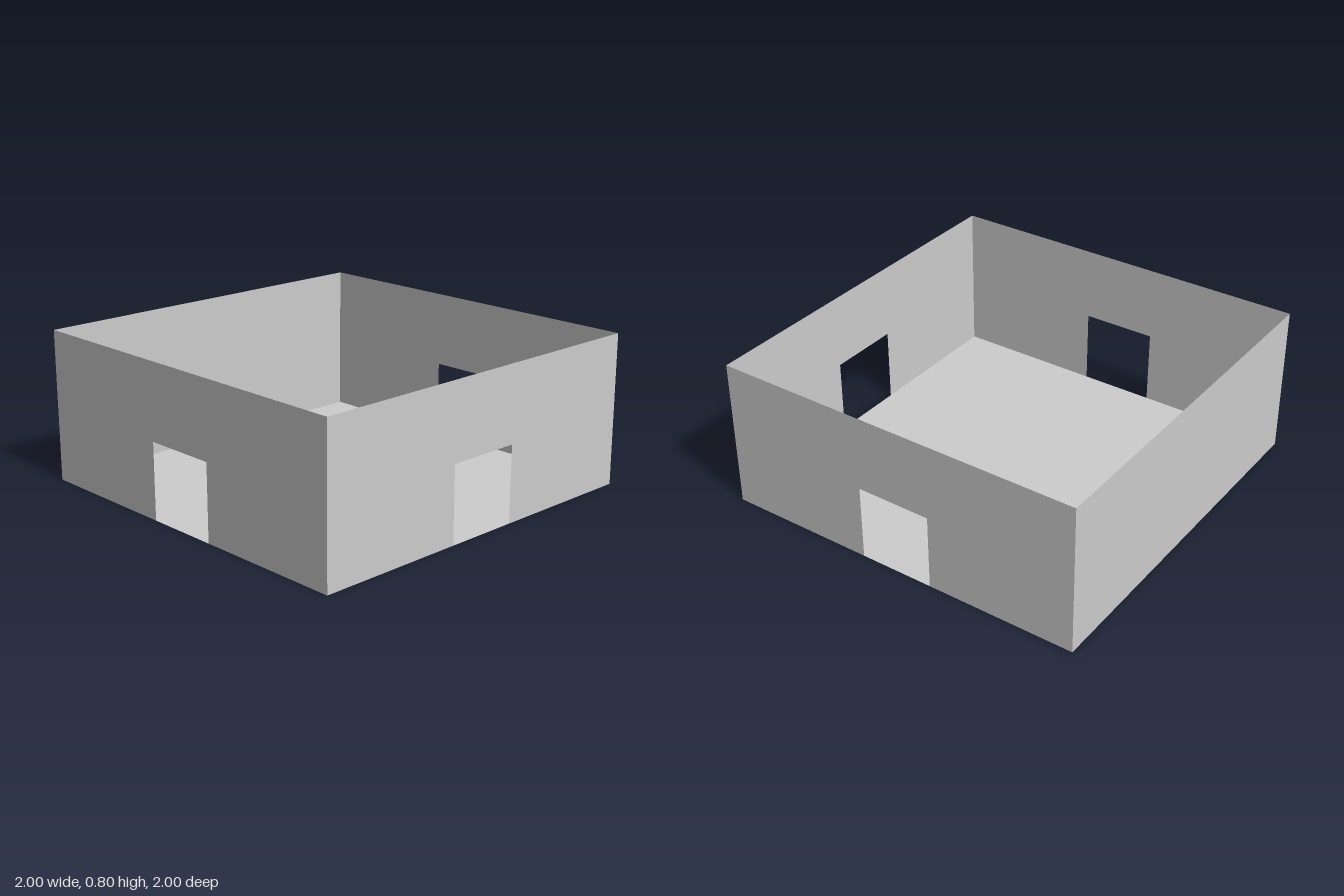
import * as THREE from 'three';

const HALF = 1, HEIGHT = 0.8, DOOR_HALF = 0.2, DOOR_HEIGHT = 0.4;

// Flat wall outline, with an optional doorway cut up from the ground
function wallGeometry(hasDoor) {
  const doorway = hasDoor
    ? [[-DOOR_HALF, 0], [-DOOR_HALF, DOOR_HEIGHT], [DOOR_HALF, DOOR_HEIGHT], [DOOR_HALF, 0]]
    : [];
  const outline = [[-HALF, 0], ...doorway, [HALF, 0], [HALF, HEIGHT], [-HALF, HEIGHT]];
  return new THREE.ShapeGeometry(new THREE.Shape(outline.map(([x, y]) => new THREE.Vector2(x, y))));
}

export function createModel() {
  const group = new THREE.Group();
  group.name = 'openRoom';
  const plaster = new THREE.MeshStandardMaterial({ color: 0xcccccc, side: THREE.DoubleSide });
  plaster.name = 'light grey';

  // Floor
  const floor = new THREE.Mesh(new THREE.PlaneGeometry(2 * HALF, 2 * HALF).rotateX(-Math.PI / 2), plaster);
  floor.name = 'floor';
  group.add(floor);

  // Four paper-thin walls; every side but the back has a doorway
  ['frontWall', 'leftWall', 'backWall', 'rightWall'].forEach((name, i) => {
    const geometry = wallGeometry(name !== 'backWall');
    geometry.translate(0, 0, HALF).rotateY(i * Math.PI / 2);
    const wall = new THREE.Mesh(geometry, plaster);
    wall.name = name;
    group.add(wall);
  });

  return group;
}
